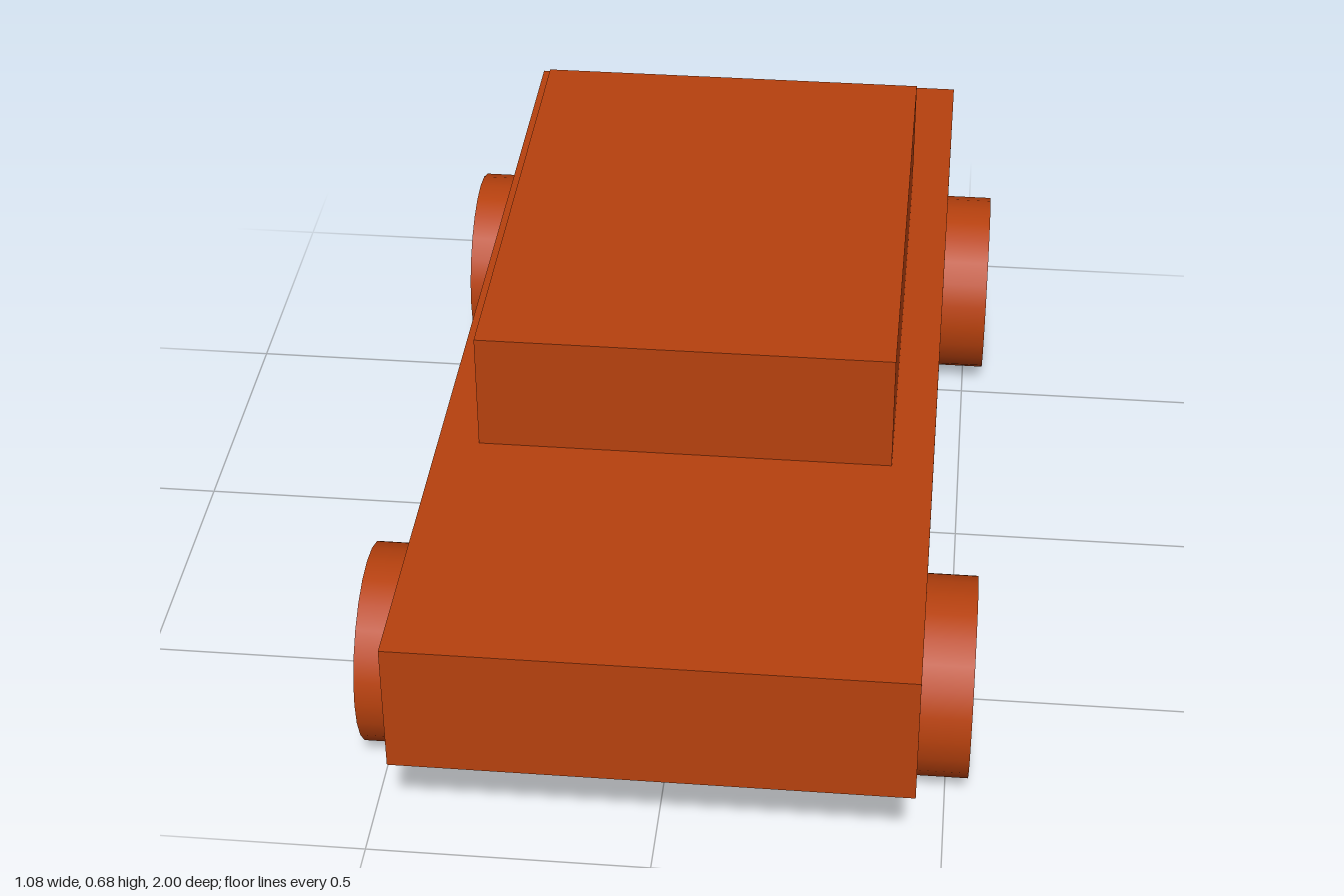
import * as THREE from 'three';

export function createModel() {
  const model = new THREE.Group();
  const paint = new THREE.MeshStandardMaterial({ color: 0xb7410e });

  const add = (name, geometry, x, y, z) => {
    const mesh = new THREE.Mesh(geometry, paint);
    mesh.name = name;
    mesh.position.set(x, y, z);
    model.add(mesh);
  };

  // Flat lower body, with the cabin set slightly to the rear
  add('body', new THREE.BoxGeometry(0.9, 0.25, 2), 0, 0.325, 0);
  add('cabin', new THREE.BoxGeometry(0.75, 0.225, 1), 0, 0.5625, -0.1);

  // Four wheels, partly sunk into the body sides
  const wheel = new THREE.CylinderGeometry(0.18, 0.18, 0.13, 24).rotateZ(Math.PI / 2);
  for (const [side, x] of [['Left', 0.475], ['Right', -0.475]]) {
    add(`front${side}Wheel`, wheel, x, 0.18, 0.65);
    add(`rear${side}Wheel`, wheel, x, 0.18, -0.65);
  }

  return model;
}
